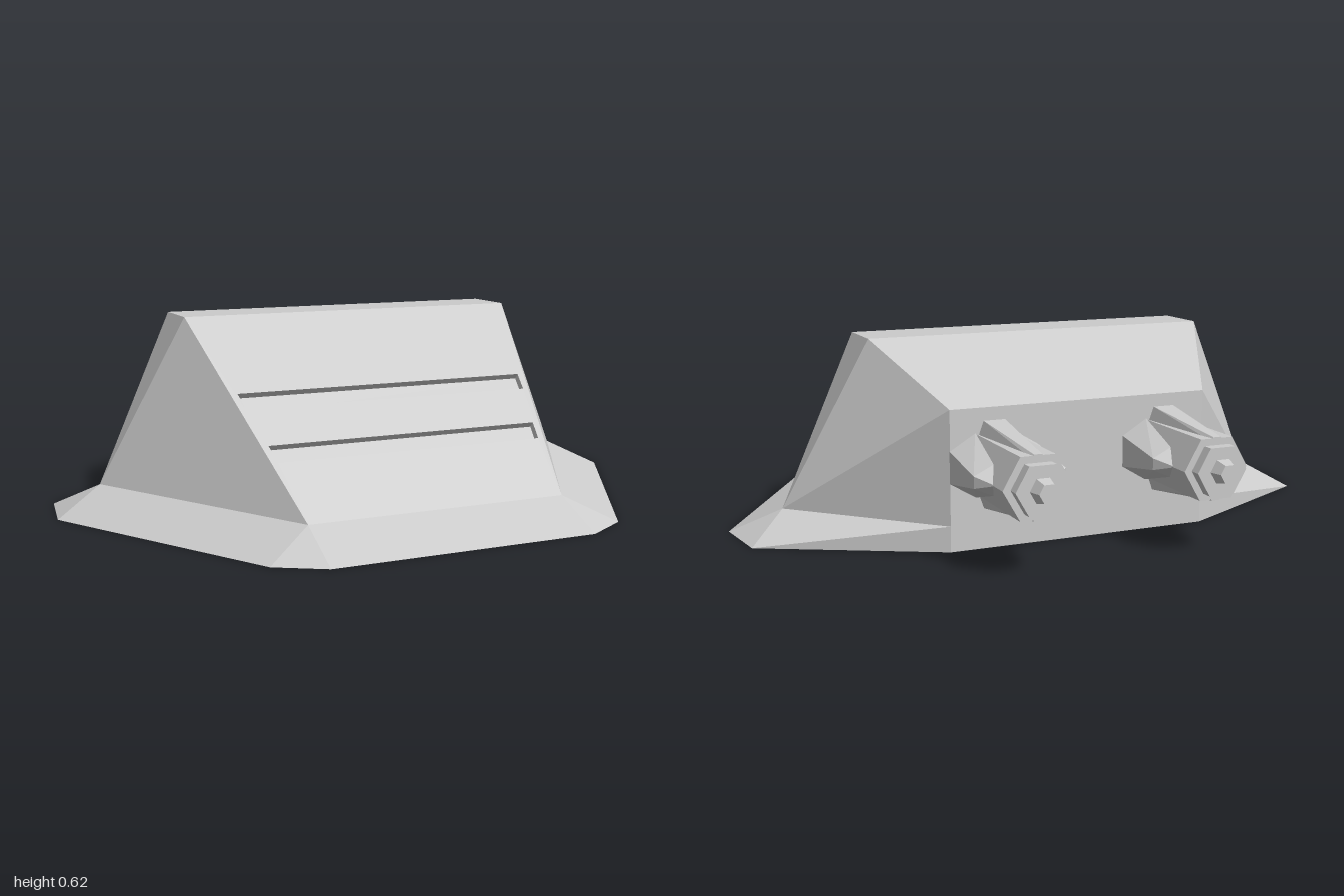
import * as THREE from 'three';
import { ConvexGeometry } from 'three/addons/geometries/ConvexGeometry.js';

const grey = new THREE.MeshStandardMaterial({ color: 0xcccccc, flatShading: true });
const V = (x, y, z) => new THREE.Vector3(x, y, z);

function add(parent, name, geometry) {
  const mesh = new THREE.Mesh(geometry, grey);
  mesh.name = name;
  parent.add(mesh);
  return mesh;
}

// Flat polygons, each turned away from (sign 1) or towards (sign -1) a reference point
function facets(polygons, ref, sign = 1) {
  const out = [];
  for (const p of polygons) {
    for (let i = 1; i < p.length - 1; i++) {
      const tri = [p[0], p[i], p[i + 1]];
      const n = tri[1].clone().sub(tri[0]).cross(tri[2].clone().sub(tri[0]));
      if (n.dot(tri[0].clone().sub(ref)) * sign < 0) tri.reverse();
      tri.forEach((v) => out.push(v.x, v.y, v.z));
    }
  }
  const g = new THREE.BufferGeometry();
  g.setAttribute('position', new THREE.Float32BufferAttribute(out, 3));
  g.computeVertexNormals();
  return g;
}

// Hull corners on the left half; the other half is mirrored
const base = [V(0.43, 0, 0.85), V(0.575, 0, 0.765), V(1, 0, 0.03), V(0.97, 0, -0.18), V(0.43, 0, -0.46)];
const front = V(0.425, 0.08, 0.675);
const side = V(0.845, 0.08, -0.055);
const rear = V(0.43, 0.08, -0.46);
const rearTop = V(0.43, 0.435, -0.46);
const roofFront = V(0.58, 0.615, 0.035);
const roofBack = V(0.58, 0.615, -0.145);
const flip = (v) => V(-v.x, v.y, v.z);

function buildHull(model) {
  const centre = V(0, 0.1, 0);
  const both = (polys) => [...polys, ...polys.map((p) => p.map(flip))];
  const span = (a, b) => [a, b, flip(b), flip(a)];

  add(model, 'skirt', facets([
    span(base[0], front),
    ...both([
      [base[0], base[1], front],
      [base[1], base[2], side, front],
      [base[2], base[3], side],
      [base[3], rear, side],
      [base[3], base[4], rear],
    ]),
  ], centre));
  add(model, 'sideArmour', facets(both([
    [front, side, roofFront],
    [side, roofBack, roofFront],
    [side, rearTop, roofBack],
    [side, rear, rearTop],
  ]), centre));
  add(model, 'roof', facets([span(roofFront, roofBack), span(roofBack, rearTop)], centre));
  add(model, 'rearWall', facets([span(rearTop, base[4])], centre));
  add(model, 'underside', facets([[...base, ...base.map(flip).reverse()]], centre));
}

// Sloping front plate with two recessed slots, drawn flat and then tilted back
function buildFrontPlate(model) {
  const plate = new THREE.Group();
  plate.name = 'frontPlate';
  const rise = roofFront.y - front.y, run = front.z - roofFront.z;
  const length = Math.hypot(rise, run), depth = 0.022;
  plate.position.set(0, front.y, front.z);
  plate.rotation.x = -Math.atan2(run, rise);

  const trapezoid = (w0, v0, w1, v1) => [[-w0, v0], [w0, v0], [w1, v1], [-w1, v1]];
  const toPoints = (pts) => pts.map(([x, y]) => new THREE.Vector2(x, y));
  const shape = new THREE.Shape(toPoints(trapezoid(front.x, 0, roofFront.x, length)));
  const slots = [[0.447, 0.228, 0.457, 0.293], [0.487, 0.437, 0.495, 0.502]];
  for (const slot of slots) {
    const outline = trapezoid(...slot);
    shape.holes.push(new THREE.Path(toPoints(outline)));
    const rim = outline.map(([x, y]) => V(x, y, 0));
    const floor = outline.map(([x, y]) => V(x, y, -depth));
    const walls = rim.map((p, i) => [p, rim[(i + 1) % 4], floor[(i + 1) % 4], floor[i]]);
    const middle = V(0, (slot[1] + slot[3]) / 2, -depth / 2);
    add(plate, 'slotRecess', facets([floor, ...walls], middle, -1));
  }
  add(plate, 'slopingPanel', new THREE.ShapeGeometry(shape));
  model.add(plate);
}

// Hexagonal section along z, from z0 back to z1
function hex(r0, r1, z0, z1) {
  const g = new THREE.CylinderGeometry(r1, r0, z0 - z1, 6, 1, false, Math.PI / 6);
  return g.rotateX(-Math.PI / 2).translate(0, 0, (z0 + z1) / 2);
}

function buildThruster() {
  const thruster = new THREE.Group();
  thruster.name = 'thruster';
  add(thruster, 'thrusterBody', hex(0.107, 0.107, -0.45, -0.78));
  add(thruster, 'thrusterCollar', hex(0.083, 0.083, -0.775, -0.815));
  add(thruster, 'nozzle', hex(0.042, 0.03, -0.81, -0.855));

  for (const s of [-1, 1]) {
    // Pointed cowls on the two sides
    const cowl = [V(s * 0.1, 0, -0.715)];
    // Tapering ridges above and below
    const ridge = [];
    for (const t of [-1, 1]) {
      cowl.push(V(s * 0.143, t * 0.05, -0.455), V(s * 0.06, t * 0.1, -0.455),
        V(s * 0.143, t * 0.018, -0.655), V(s * 0.08, t * 0.046, -0.65));
      ridge.push(V(t * 0.035, s * 0.135, -0.455), V(t * 0.053, s * 0.085, -0.455),
        V(t * 0.012, s * 0.096, -0.78), V(t * 0.02, s * 0.085, -0.78));
    }
    add(thruster, 'sideCowl', new ConvexGeometry(cowl));
    add(thruster, 'ridge', new ConvexGeometry(ridge));
  }
  return thruster;
}

export function createModel() {
  const model = new THREE.Group();
  model.name = 'armouredCraft';
  buildHull(model);
  buildFrontPlate(model);
  for (const s of [-1, 1]) {
    const thruster = buildThruster();
    thruster.position.set(s * 0.288, 0.26, 0);
    model.add(thruster);
  }
  return model;
}
